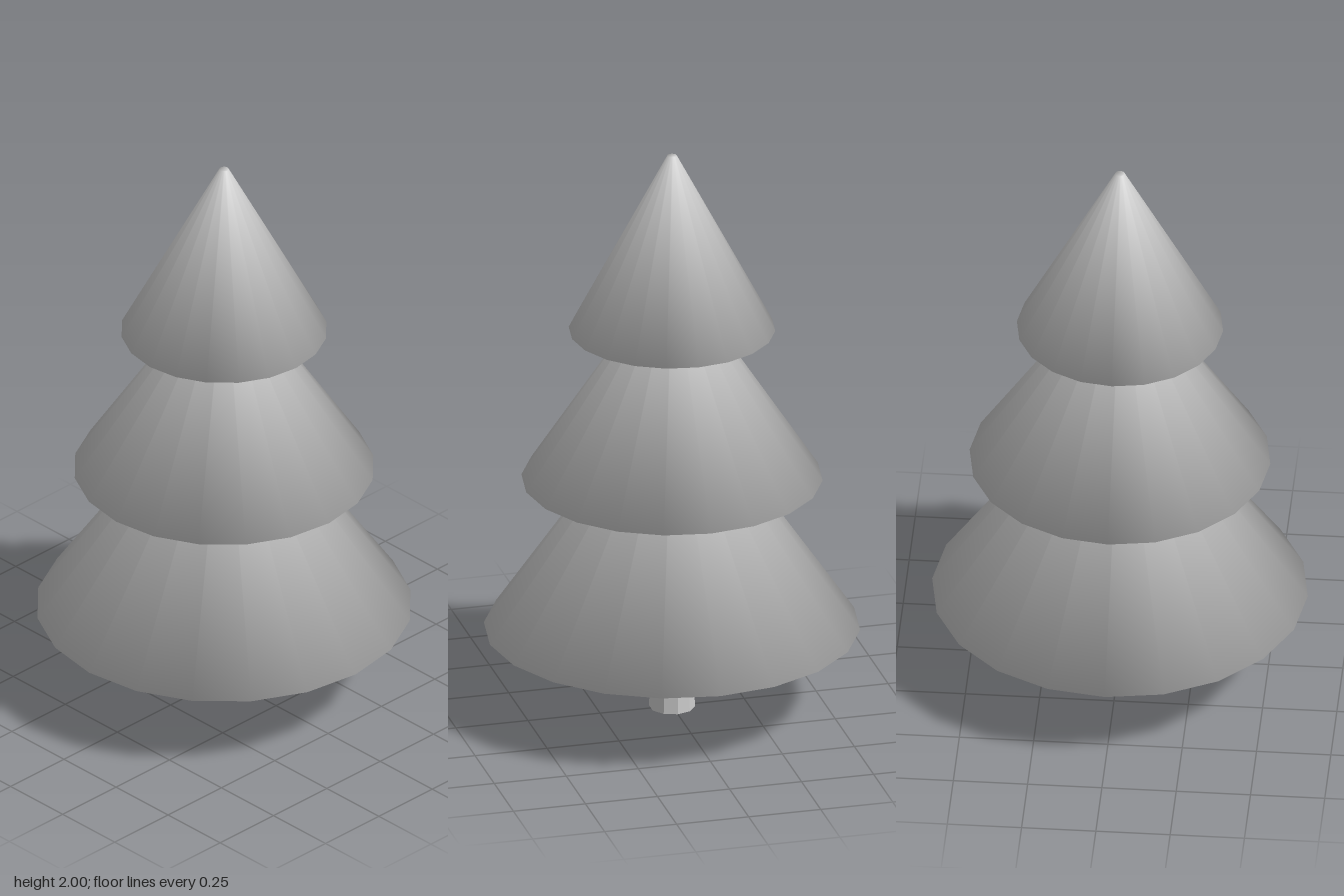
import * as THREE from 'three';

const SIDES = 20;

// Closed cone whose smooth normals run on over the rim and the underside
function tierGeometry(radius, bottom, top, tipRadius = 0.016) {
  const positions = [], normals = [], index = [];
  const rings = [
    { r: radius, y: bottom, tilt: -0.37 },  // rim normals lean slightly down
    { r: tipRadius, y: top, tilt: 0.8 },    // tip normals lean up
  ];
  for (const { r, y, tilt } of rings) {
    for (let i = 0; i < SIDES; i++) {
      const a = (i / SIDES) * Math.PI * 2;
      const s = Math.sin(a), c = Math.cos(a);
      positions.push(s * r, y, c * r);
      normals.push(s * Math.cos(tilt), Math.sin(tilt), c * Math.cos(tilt));
    }
  }
  for (let i = 0; i < SIDES; i++) {
    const j = (i + 1) % SIDES;
    index.push(i, j, SIDES + j, i, SIDES + j, SIDES + i);
    if (i > 0 && j > 0) {
      index.push(0, j, i);                          // underside
      index.push(SIDES, SIDES + i, SIDES + j);      // tip
    }
  }
  const g = new THREE.BufferGeometry();
  g.setAttribute('position', new THREE.Float32BufferAttribute(positions, 3));
  g.setAttribute('normal', new THREE.Float32BufferAttribute(normals, 3));
  g.setIndex(index);
  return g;
}

export function createModel() {
  const tree = new THREE.Group();
  tree.name = 'tree';
  const grey = new THREE.MeshStandardMaterial({ color: 0xcccccc });
  grey.name = 'light grey';

  // Faceted, slightly tapering trunk
  const trunkHeight = 0.35;
  const trunkGeometry = new THREE.CylinderGeometry(0.068, 0.077, trunkHeight, 10).toNonIndexed();
  trunkGeometry.computeVertexNormals();
  const trunk = new THREE.Mesh(trunkGeometry, grey);
  trunk.name = 'trunk';
  trunk.position.y = trunkHeight / 2;
  tree.add(trunk);

  // Three overlapping tiers of foliage
  const tiers = [
    ['lowerFoliage', 0.632, 0.29, 1.19],
    ['middleFoliage', 0.506, 0.83, 1.58],
    ['upperFoliage', 0.347, 1.37, 2],
  ];
  for (const [name, radius, bottom, top] of tiers) {
    const tier = new THREE.Mesh(tierGeometry(radius, bottom, top), grey);
    tier.name = name;
    tree.add(tier);
  }
  return tree;
}
